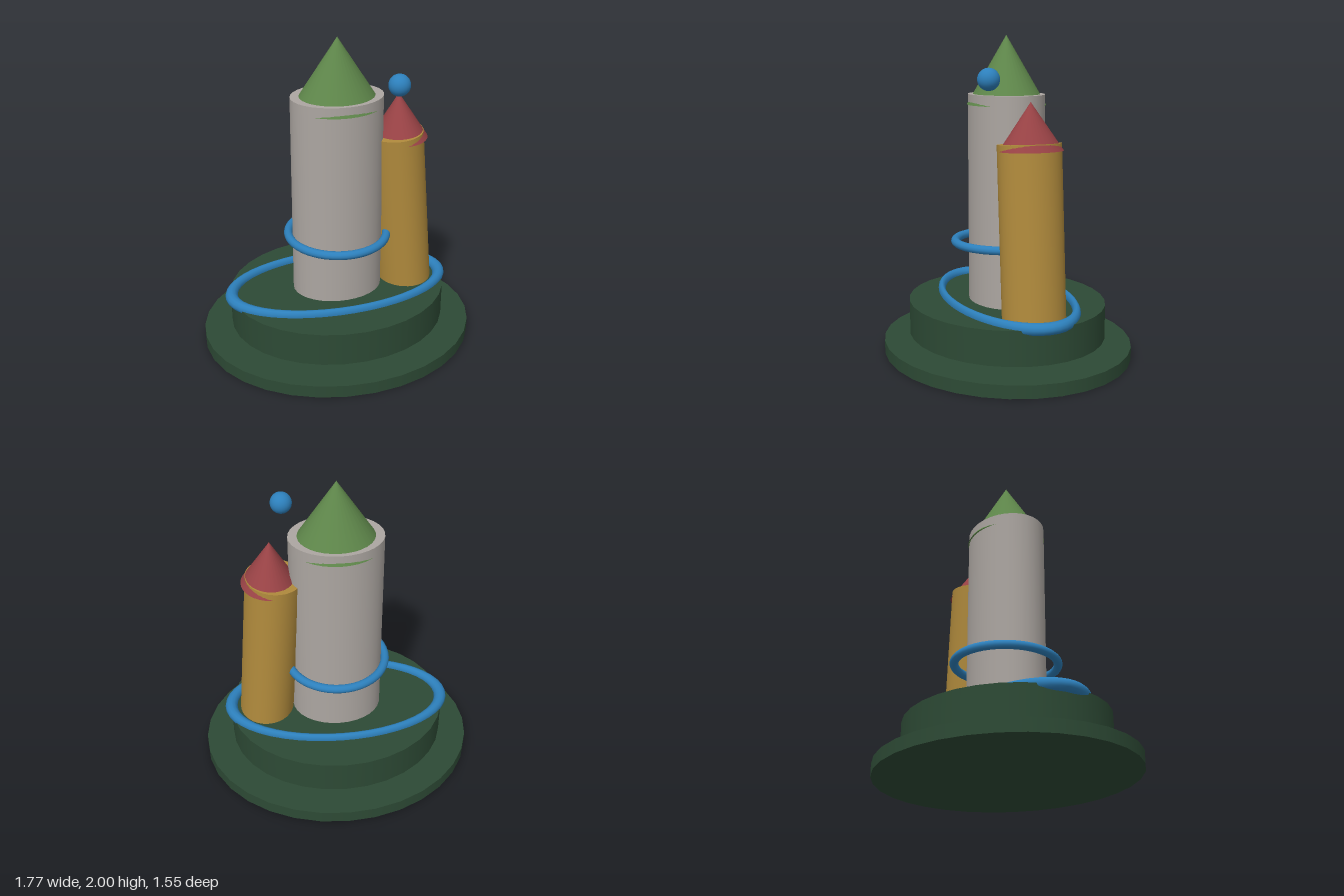
import * as THREE from 'three';

const mat = (name, color) => {
  const m = new THREE.MeshStandardMaterial({ color });
  m.name = name;
  return m;
};

export function createModel() {
  const group = new THREE.Group();
  const darkGreen = mat('dark green', 0x2d4a35);
  const stone = mat('warm grey', 0xaca6a1);
  const gold = mat('ochre', 0xb08a3c);
  const red = mat('brick red', 0x984245);
  const green = mat('leaf green', 0x5e864a);
  const blue = mat('blue', 0x2d80bc);

  const add = (name, geometry, material, x = 0, y = 0, z = 0, tilt = 0) => {
    const mesh = new THREE.Mesh(geometry, material);
    mesh.name = name;
    mesh.position.set(x, y, z);
    mesh.rotation.z = tilt;
    group.add(mesh);
    return mesh;
  };

  // Oval-section solids, centred on their own height
  const ovalColumn = (rx, rz, h) => new THREE.CylinderGeometry(1, 1, h, 32).scale(rx, 1, rz);
  const ovalCone = (rx, rz, h) => new THREE.ConeGeometry(1, h, 32).scale(rx, 1, rz);
  // Level ring stretched to an oval: outer half-widths and tube half-height
  const ovalRing = (rx, rz, tube) => {
    const ratio = 0.054;
    return new THREE.TorusGeometry(1 - ratio, ratio, 12, 48)
      .rotateX(Math.PI / 2).scale(rx, tube / ratio, rz);
  };

  // Two-tier plinth with a gap between the tiers
  add('lowerBase', ovalColumn(0.885, 0.775, 0.08), darkGreen, 0, 0.04);
  add('upperBase', ovalColumn(0.703, 0.614, 0.215), darkGreen, 0, 0.2275);

  // Main tower and roof; the roof sinks into the tower top
  add('mainTower', ovalColumn(0.29, 0.232, 1.34), stone, 0, 0.97);
  add('mainRoof', ovalCone(0.277, 0.2415, 0.425), green, 0, 1.7875);

  // Leaning side tower and roof
  const lean = 0.083;
  add('sideTower', ovalColumn(0.176, 0.195, 1.09), gold, 0.425, 0.825, 0, lean);
  add('sideRoof', ovalCone(0.173, 0.195, 0.285), red, 0.404, 1.472, 0, 0.04);

  // Rings and floating ball
  add('baseRing', ovalRing(0.745, 0.395, 0.037), blue, 0, 0.339);
  add('towerRing', new THREE.TorusGeometry(0.318, 0.027, 12, 48)
    .rotateX(Math.PI / 2).scale(0.99, 1, 1.02), blue, 0, 0.715);
  add('ball', new THREE.SphereGeometry(0.067, 24, 16), blue, 0.312, 1.744, 0.228);

  return group;
}
